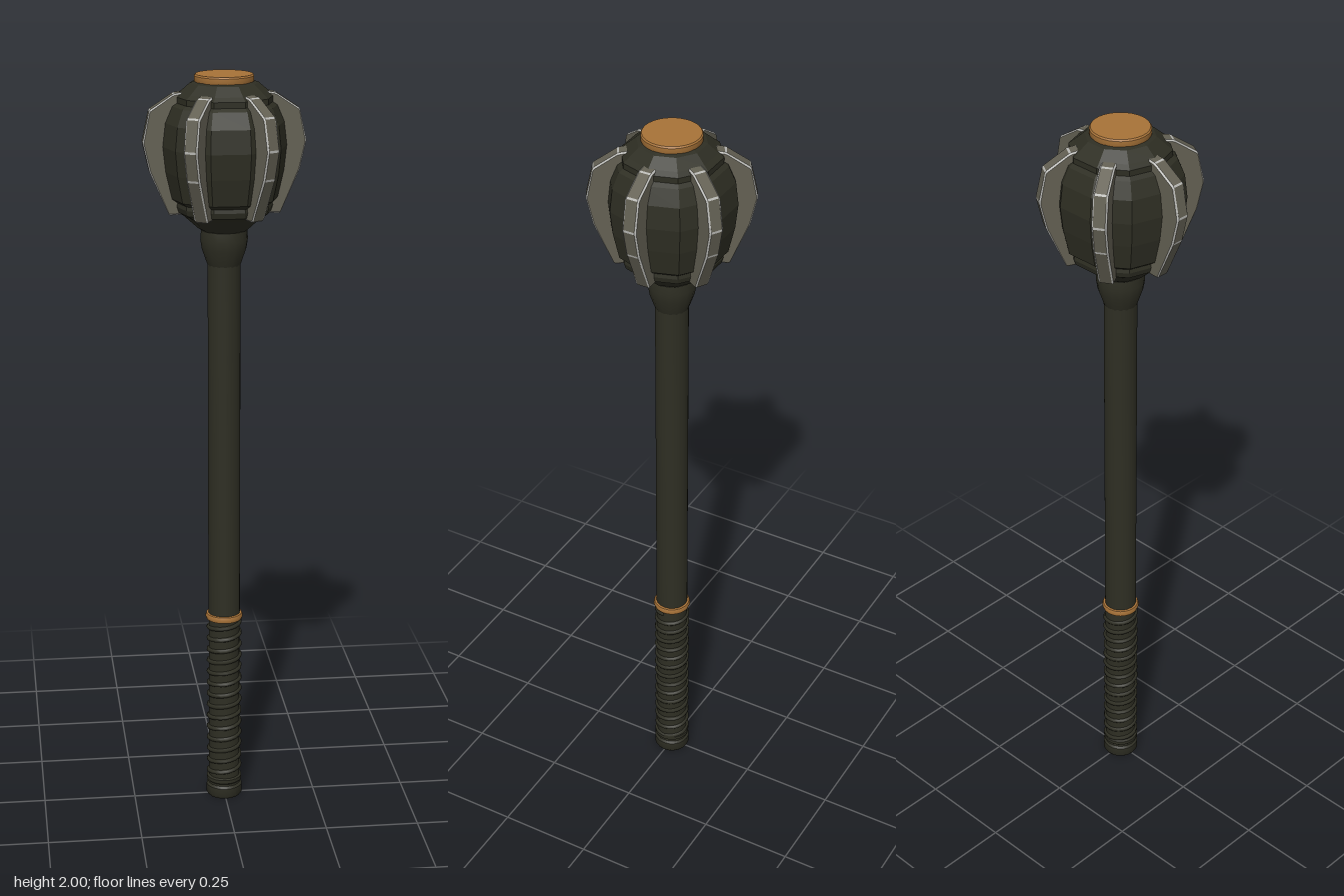
import * as THREE from 'three';
import { toCreasedNormals } from 'three/addons/utils/BufferGeometryUtils.js';

const material = (name, color) => Object.assign(new THREE.MeshStandardMaterial({ color }), { name });

// Revolved part from [radius, height] pairs, listed from bottom to top.
function lathe(profile, sides, crease) {
  const points = profile.map(([r, y]) => new THREE.Vector2(r, y));
  return toCreasedNormals(new THREE.LatheGeometry(points, sides, Math.PI / 2), crease);
}

// Cut each corner of an outline into two points, leaving a short edge between.
function chamfer(outline, size) {
  return outline.flatMap((p, i) => {
    const n = outline.length;
    return [outline[(i + n - 1) % n], outline[(i + 1) % n]].map((q) =>
      p.clone().add(q.clone().sub(p).setLength(size)));
  });
}

// Bevelled plate: group 0 is the broad faces and rim, group 1 the polished edges.
function flangeGeometry() {
  const outline = chamfer([[0.1, 1.645], [0.143, 1.642], [0.193, 1.755], [0.21, 1.83],
    [0.192, 1.912], [0.13, 1.953], [0.105, 1.957]].map(([x, y]) => new THREE.Vector2(x, y)), 0.003);
  const half = 0.019, bevel = 0.004;
  const centre = new THREE.Vector2(0.145, 1.8);
  const inset = outline.map((p) => p.clone().add(centre.clone().sub(p).setLength(bevel)));
  const at = (p, z) => [p.x, p.y, z];
  const plain = [], polished = [];
  const quad = (out, a, b, c, d) => out.push(...a, ...b, ...c, ...a, ...c, ...d);
  outline.forEach((p, i) => {
    const j = (i + 1) % outline.length;
    const q = outline[j], pi = inset[i], qi = inset[j], e = half - bevel;
    plain.push(...at(centre, half), ...at(pi, half), ...at(qi, half));
    plain.push(...at(centre, -half), ...at(qi, -half), ...at(pi, -half));
    quad(polished, at(p, e), at(q, e), at(qi, half), at(pi, half));
    quad(polished, at(q, -e), at(p, -e), at(pi, -half), at(qi, -half));
    quad(i % 2 ? plain : polished, at(p, -e), at(q, -e), at(q, e), at(p, e));
  });
  const geometry = new THREE.BufferGeometry();
  geometry.setAttribute('position', new THREE.Float32BufferAttribute([...plain, ...polished], 3));
  geometry.addGroup(0, plain.length / 3, 0);
  geometry.addGroup(plain.length / 3, polished.length / 3, 1);
  geometry.computeVertexNormals();
  return geometry;
}

// Spiral path of the grip cord.
class Helix extends THREE.Curve {
  getPoint(t, target = new THREE.Vector3()) {
    const a = t * 14 * Math.PI * 2;
    return target.set(0.042 * Math.cos(a), 0.055 + 0.46 * t, -0.042 * Math.sin(a));
  }
}

export function createModel() {
  const mace = new THREE.Group();
  mace.name = 'mace';
  const dark = material('dark iron', 0x2e2e23);
  const gold = material('bronze', 0xa87338);
  const steel = material('steel', 0x636053);
  const bright = material('polished edge', 0xb8b8b4);
  const add = (name, geometry, mat, parent = mace) => {
    const mesh = new THREE.Mesh(geometry, mat);
    mesh.name = name;
    parent.add(mesh);
    return mesh;
  };

  // Handle
  add('pommel', lathe([[0, 0], [0.045, 0], [0.049, 0.006], [0.049, 0.03], [0.044, 0.036],
    [0.044, 0.042], [0.048, 0.046], [0.048, 0.056], [0.04, 0.06]], 20, 0.6), dark);
  add('grip', lathe([[0.042, 0.05], [0.042, 0.53]], 20, 0.6), dark);
  add('gripCord', new THREE.TubeGeometry(new Helix(), 280, 0.0065, 6), dark);
  add('gripRing', lathe([[0.04, 0.522], [0.048, 0.524], [0.051, 0.532], [0.048, 0.54],
    [0.04, 0.542]], 24, 0.9), gold);
  add('shaft', lathe([[0.043, 0.53], [0.043, 1.53]], 20, 0.6), dark);

  // Collar under the head
  add('collar', lathe([[0.042, 1.505], [0.046, 1.515], [0.058, 1.55], [0.062, 1.575],
    [0.06, 1.6], [0.05, 1.605]], 16, 0.6), dark);

  // Ten-sided faceted head
  add('head', lathe([[0.052, 1.595], [0.068, 1.605], [0.105, 1.638], [0.125, 1.65], [0.13, 1.665],
    [0.128, 1.675], [0.142, 1.685], [0.158, 1.755], [0.165, 1.82], [0.158, 1.88], [0.14, 1.922],
    [0.128, 1.93], [0.128, 1.945], [0.115, 1.955], [0.088, 1.978], [0.07, 1.984], [0, 1.984]], 10, 0.01), dark);
  add('cap', lathe([[0.072, 1.975], [0.076, 1.983], [0.076, 1.996], [0.073, 2], [0, 2]], 32, 0.6), gold);

  // Six radial flanges
  const flanges = new THREE.Group();
  flanges.name = 'flanges';
  mace.add(flanges);
  const geometry = flangeGeometry();
  for (let i = 0; i < 6; i++) {
    add(`flange${i + 1}`, geometry, [steel, bright], flanges).rotation.y = (i * Math.PI) / 3;
  }
  return mace;
}
